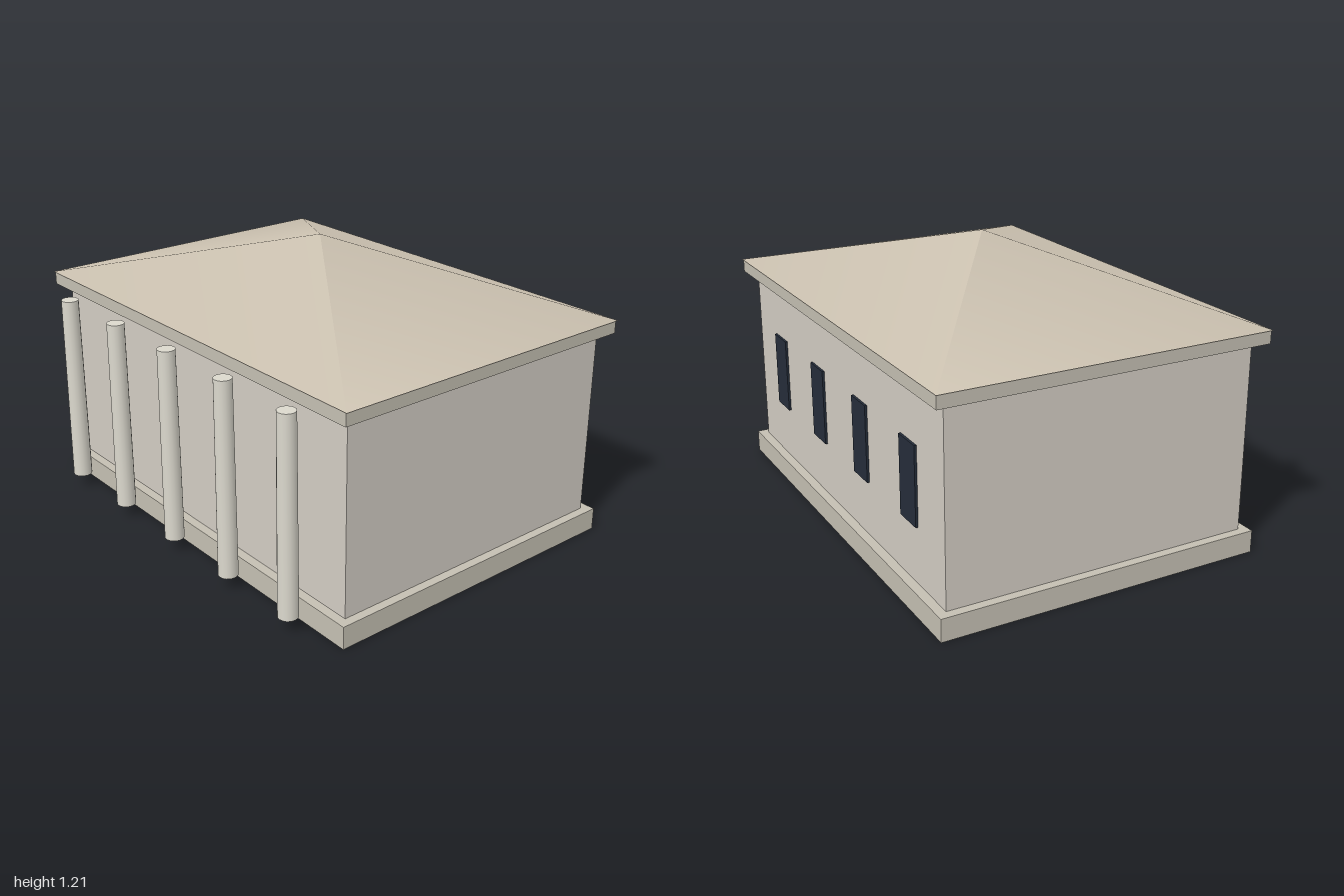
import * as THREE from 'three';

const CZ = -0.05; // centre of the hall along z

const material = (color) => new THREE.MeshStandardMaterial({ color });

export function createModel() {
  const model = new THREE.Group();
  const stone = material(0xc4bfb2);
  const wall = material(0xd2ccc3);
  const roofTile = material(0xcbc1b0);
  const marble = material(0xdbd8cd);
  const glass = material(0x252d3a);

  const add = (name, geometry, mat, x, y, z) => {
    const mesh = new THREE.Mesh(geometry, mat);
    mesh.name = name;
    mesh.position.set(x, y, z);
    model.add(mesh);
  };
  // Box given by half width, half depth and its bottom and top heights
  const slab = (name, mat, hx, hz, y0, y1) =>
    add(name, new THREE.BoxGeometry(hx * 2, y1 - y0, hz * 2), mat, 0, (y0 + y1) / 2, CZ);

  slab('base', stone, 0.981, 0.7, 0, 0.095);
  slab('walls', wall, 0.943, 0.66, 0.095, 0.89);
  slab('cornice', stone, 0.992, 0.71, 0.89, 0.945);

  // Pyramid roof: a four-sided cone turned square and fitted to the plan
  const roof = new THREE.ConeGeometry(Math.SQRT2, 0.265, 4);
  roof.rotateY(Math.PI / 4);
  roof.scale(1, 1, 0.714);
  add('roof', roof, roofTile, 0, 0.945 + 0.265 / 2, CZ);

  // Row of slightly tapered columns along the front
  const column = new THREE.CylinderGeometry(0.037, 0.041, 0.83, 16);
  for (let i = -2; i <= 2; i++) add('column', column, marble, i * 0.377, 0.475, 0.724);

  // Dark windows in the back wall
  const pane = new THREE.BoxGeometry(0.132, 0.325, 0.02);
  for (const x of [-0.66, -0.22, 0.22, 0.66]) add('window', pane, glass, x, 0.493, CZ - 0.66);

  return model;
}
